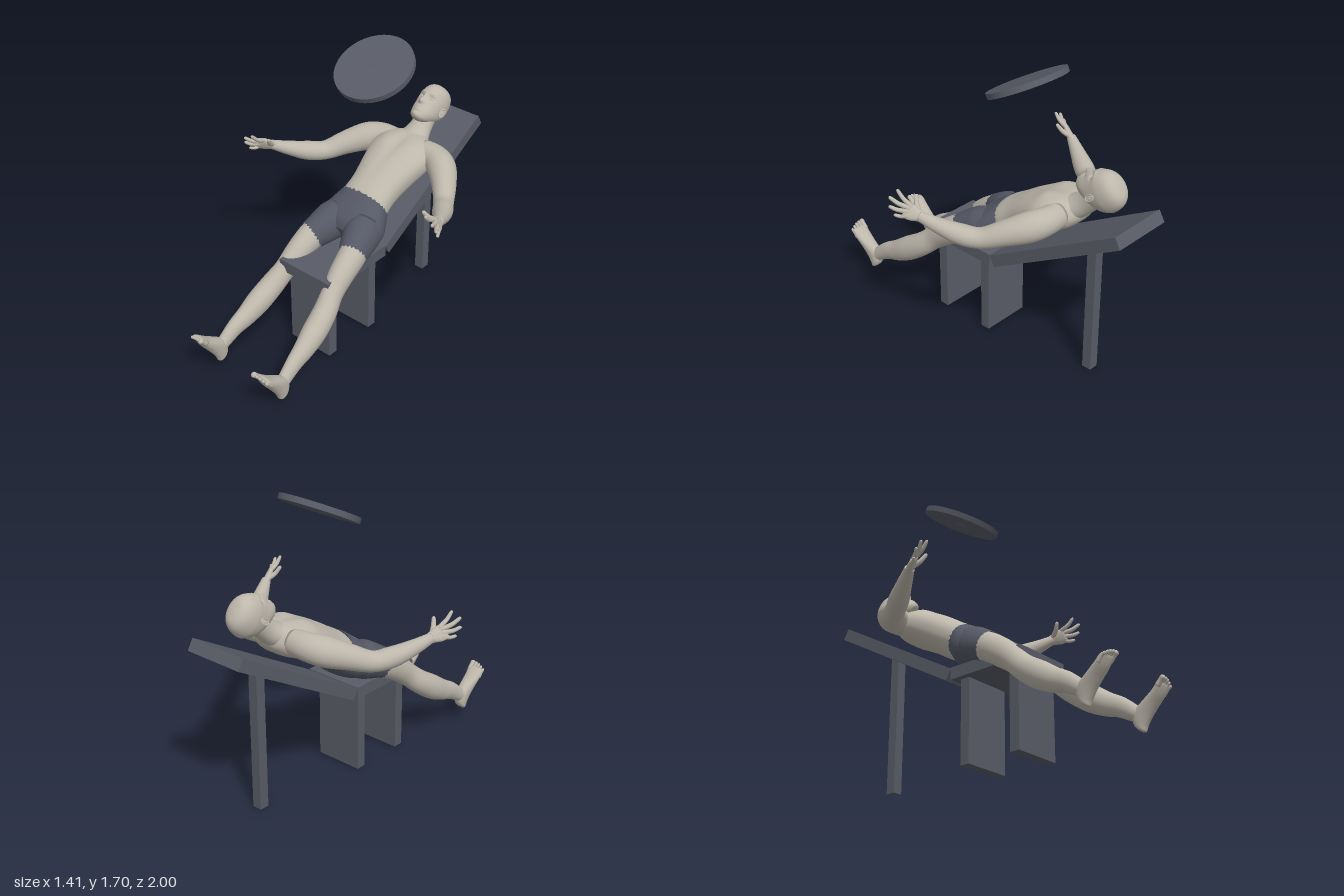
import * as THREE from 'three';

const V = (a) => new THREE.Vector3(...a);
const gauss = (d) => Math.exp(-d * d);
const spow = (c, n) => Math.sign(c) * Math.abs(c) ** (2 / n);

// Smooth closed skin through rings [x, y, z, halfWidth, halfDepth]
function loft(rings, o = {}) {
  const { seg = 28, sub = 5, n = 2, ref = [1, 0, 0], dir, jagStart = 0, jagEnd = 0, warp } = o;
  const path = new THREE.CatmullRomCurve3(rings.map((r) => V(r.slice(0, 3))), false, 'catmullrom');
  const size = new THREE.CatmullRomCurve3(rings.map((r) => V([r[3], r[4] ?? r[3], 0])), false, 'catmullrom');
  const rows = (rings.length - 1) * sub;
  const pos = [], idx = [];
  for (let i = 0; i <= rows; i++) {
    const c = path.getPoint(i / rows), s = size.getPoint(i / rows);
    const t = dir ? V(dir).normalize() : path.getTangent(i / rows);
    const u = V(ref).addScaledVector(t, -V(ref).dot(t)).normalize();
    const v = t.clone().cross(u);
    const jag = i === 0 ? jagStart : i === rows ? jagEnd : 0;
    for (let j = 0; j < seg; j++) {
      const a = (j / seg) * Math.PI * 2;
      const p = c.clone().addScaledVector(u, s.x * spow(Math.cos(a), n))
        .addScaledVector(v, s.y * spow(Math.sin(a), n))
        .addScaledVector(t, jag * Math.sin(j * 2.7));
      if (warp) warp(p);
      pos.push(p.x, p.y, p.z);
    }
  }
  for (let i = 0; i < rows; i++) {
    for (let j = 0; j < seg; j++) {
      const a = i * seg + j, b = i * seg + (j + 1) % seg;
      idx.push(a, b, b + seg, a, b + seg, a + seg);
    }
  }
  // End caps, left open at ragged cloth edges
  const cap = (row, flip) => {
    const k = pos.length / 3, m = [0, 0, 0];
    for (let j = 0; j < seg; j++) for (let d = 0; d < 3; d++) m[d] += pos[(row * seg + j) * 3 + d] / seg;
    pos.push(...m);
    for (let j = 0; j < seg; j++) {
      const a = row * seg + j, b = row * seg + (j + 1) % seg;
      if (flip) idx.push(k, b, a); else idx.push(k, a, b);
    }
  };
  if (!jagStart) cap(0, true);
  if (!jagEnd) cap(rows, false);
  const g = new THREE.BufferGeometry();
  g.setAttribute('position', new THREE.Float32BufferAttribute(pos, 3));
  g.setIndex(idx);
  g.computeVertexNormals();
  return g;
}

export function createModel() {
  const skin = new THREE.MeshStandardMaterial({ color: 0xbdb7ab });
  const cloth = new THREE.MeshStandardMaterial({ color: 0x555865, side: THREE.DoubleSide });
  const bench = new THREE.MeshStandardMaterial({ color: 0x595c67 });
  skin.name = 'skin'; cloth.name = 'shorts cloth'; bench.name = 'bench grey';

  const model = new THREE.Group();
  const add = (name, geo, mat, at = [0, 0, 0], parent = model) => {
    const m = new THREE.Mesh(geo, mat);
    m.name = name;
    m.position.set(...at);
    parent.add(m);
    return m;
  };

  // Reclining bench
  const box = (name, w, h, d, at) => add(name, new THREE.BoxGeometry(w, h, d), bench, at);
  box('seat', 0.366, 0.07, 0.49, [0, 0.52, 0.135]);
  box('backrest', 0.366, 0.07, 0.988, [0, 0.767, -0.555]).rotation.x = Math.PI / 6;
  box('frontLeg', 0.294, 0.49, 0.06, [0, 0.245, 0.305]);
  box('middleLeg', 0.294, 0.49, 0.058, [0, 0.245, -0.036]);
  box('backLeg', 0.058, 0.83, 0.058, [0, 0.415, -0.707]);

  // Hanging lamp disc with a slightly tilted hub
  const lamp = new THREE.Group();
  lamp.name = 'lamp';
  lamp.position.set(0, 1.58, -0.21);
  lamp.rotation.x = 0.47;
  model.add(lamp);
  add('lampDisc', new THREE.CylinderGeometry(0.226, 0.226, 0.032, 64), bench, [0, 0, 0], lamp);
  add('lampHub', new THREE.CylinderGeometry(0.034, 0.034, 0.033, 32), bench, [0, 0, 0], lamp).rotation.x = 0.08;

  // Torso, with chest muscles, breastbone and spine grooves
  const down = [0, -0.48, 0.88];
  add('torso', loft([
    [0, 1.0, -0.61, 0.07, 0.045], [0, 0.985, -0.585, 0.13, 0.07], [0, 0.963, -0.535, 0.185, 0.094],
    [0, 0.932, -0.45, 0.2, 0.106], [0, 0.88, -0.34, 0.174, 0.11], [0, 0.815, -0.225, 0.151, 0.104],
    [0, 0.762, -0.14, 0.153, 0.103], [0, 0.725, -0.1, 0.15, 0.09],
  ], {
    seg: 56, sub: 7, n: 2.3, dir: down, warp: (p) => {
      const x = Math.abs(p.x), mid = 0.68 - p.z * 0.545;
      const side = THREE.MathUtils.clamp((p.y - mid) / 0.06, -1, 1);
      const fade = gauss((p.z + 0.38) / 0.16);
      if (side > 0) p.y += side * (0.013 * gauss((x - 0.085) / 0.055) * gauss((p.z + 0.42) / 0.06) - 0.008 * gauss(x / 0.02) * fade);
      else p.y -= side * 0.012 * gauss(x / 0.025) * fade;
    },
  }), skin);
  add('neck', loft([
    [0, 1.11, -0.71, 0.06, 0.06], [0, 1.045, -0.645, 0.066, 0.062],
    [0, 1.0, -0.59, 0.09, 0.068], [0, 0.965, -0.53, 0.13, 0.07],
  ]), skin);

  // Head: rows are height, half width, front, back
  const head = new THREE.Group();
  head.name = 'head';
  head.position.set(0, 1.15, -0.73);
  head.rotation.x = -0.942;
  model.add(head);
  const rows = [
    [0.127, 0.012, -0.01, -0.04], [0.12, 0.044, 0.035, -0.08], [0.1, 0.067, 0.068, -0.108],
    [0.07, 0.08, 0.088, -0.125], [0.03, 0.086, 0.1, -0.134], [0, 0.085, 0.1, -0.132],
    [-0.04, 0.08, 0.099, -0.115], [-0.07, 0.073, 0.1, -0.085], [-0.095, 0.062, 0.101, -0.05],
    [-0.12, 0.045, 0.097, -0.005], [-0.134, 0.024, 0.084, 0.03],
  ];
  add('skull', loft(rows.map(([y, w, f, b]) => [0, y, (f + b) / 2, w, (f - b) / 2]), {
    seg: 80, sub: 7, dir: [0, -1, 0], warp: (p) => {
      if (p.z < 0.02) return;
      const { x, y } = p, ax = Math.abs(x);
      const ramp = THREE.MathUtils.clamp((0.028 - y) / 0.065, 0, 1) * (y < -0.038 ? gauss((y + 0.038) / 0.011) : 1);
      p.z += 0.026 * ramp * gauss(x / (0.009 + 0.007 * ramp))
        - 0.016 * gauss((ax - 0.034) / 0.018) * gauss((y - 0.006) / 0.014)
        + 0.005 * gauss((ax - 0.03) / 0.025) * gauss((y - 0.032) / 0.01)
        + 0.007 * gauss(x / 0.024) * (gauss((y + 0.075) / 0.006) + gauss((y + 0.09) / 0.006))
        + 0.005 * gauss(x / 0.02) * gauss((y + 0.121) / 0.012);
    },
  }), skin, [0, 0, 0], head);
  for (const s of [1, -1]) {
    add('eye', new THREE.SphereGeometry(0.014, 20, 14), skin, [s * 0.034, 0.006, 0.069], head);
    const ear = new THREE.Group();
    ear.name = 'ear';
    ear.position.set(s * 0.088, -0.022, -0.012);
    ear.rotation.set(-0.15, s * -0.35, 0);
    head.add(ear);
    add('earShell', new THREE.SphereGeometry(1, 16, 12), skin, [0, 0, 0], ear).scale.set(0.007, 0.029, 0.017);
    const rim = add('earRim', new THREE.TorusGeometry(0.017, 0.004, 8, 24), skin, [s * 0.005, 0.003, 0], ear);
    rim.rotation.y = Math.PI / 2;
    rim.scale.y = 1.6;
  }

  // Shorts: hip section with a ragged waistband
  add('shortsHips', loft([
    [0, 0.762, -0.14, 0.158, 0.108], [0, 0.71, -0.085, 0.192, 0.118], [0, 0.672, -0.03, 0.21, 0.116],
    [0, 0.645, 0.015, 0.18, 0.1], [0, 0.63, 0.05, 0.08, 0.06],
  ], { seg: 64, n: 2.3, dir: down, jagStart: 0.006 }), cloth);

  for (const s of [1, -1]) {
    const limb = (name, rings, o, mat = skin) =>
      add(name, loft(rings.map(([x, ...r]) => [s * x, ...r]), o), mat);

    limb('shortsLeg', [
      [0.1, 0.7, -0.05, 0.09, 0.1], [0.112, 0.668, 0.01, 0.106, 0.112],
      [0.13, 0.64, 0.075, 0.097, 0.103], [0.152, 0.61, 0.143, 0.081, 0.09],
    ], { seg: 48, jagEnd: 0.008 }, cloth);

    // Leg from hip to ankle
    limb('leg', [
      [0.125, 0.655, 0.05, 0.08, 0.085], [0.152, 0.61, 0.143, 0.077, 0.085], [0.165, 0.542, 0.253, 0.069, 0.078],
      [0.178, 0.47, 0.343, 0.059, 0.068], [0.198, 0.398, 0.428, 0.066, 0.07], [0.212, 0.33, 0.53, 0.066, 0.074],
      [0.221, 0.278, 0.62, 0.054, 0.065], [0.228, 0.243, 0.7, 0.043, 0.055], [0.233, 0.197, 0.772, 0.036, 0.045],
      [0.236, 0.165, 0.815, 0.033, 0.038],
    ], { seg: 32 });

    // Foot from heel to ball, then toes
    limb('foot', [
      [0.237, 0.084, 0.818, 0.012, 0.012], [0.237, 0.098, 0.812, 0.029, 0.034], [0.237, 0.13, 0.812, 0.035, 0.046],
      [0.238, 0.175, 0.832, 0.039, 0.052], [0.24, 0.216, 0.872, 0.043, 0.043], [0.242, 0.26, 0.92, 0.049, 0.03],
      [0.242, 0.295, 0.95, 0.051, 0.019], [0.242, 0.308, 0.961, 0.045, 0.012],
    ], { n: 2.2, dir: [0, 0.84, 0.54] });
    for (let k = 0; k < 5; k++) {
      const x = 0.203 + k * 0.0195 + (k ? 0.004 : 0), r = k ? 0.0105 - k * 0.0004 : 0.0155;
      const drop = k * k * 0.0016;
      limb('toe', [
        [x, 0.287 - drop, 0.945 - drop / 2, r], [x, 0.313 - drop, 0.968 - drop / 2, r * 0.92],
        [x, 0.327 - drop, 0.983 - drop / 2, r], [x, 0.334 - drop, 0.99 - drop / 2, r * 0.35],
      ], { seg: 12, sub: 4 });
    }

    // Arm from collar to wrist
    limb('arm', [
      [0.1, 0.962, -0.535, 0.07], [0.2, 0.957, -0.525, 0.078], [0.28, 0.94, -0.483, 0.083],
      [0.365, 0.905, -0.395, 0.07], [0.44, 0.867, -0.295, 0.057], [0.5, 0.88, -0.205, 0.057],
      [0.558, 0.916, -0.11, 0.043], [0.603, 0.953, -0.032, 0.03], [0.612, 0.962, -0.015, 0.027],
    ], { seg: 32, ref: [0, 1, 0] });

    // Hand: palm, four fingers and thumb
    limb('palm', [
      [0.6, 0.95, -0.04, 0.028, 0.024], [0.612, 0.961, -0.012, 0.033, 0.021], [0.628, 0.972, 0.018, 0.043, 0.019],
      [0.642, 0.983, 0.045, 0.043, 0.014], [0.646, 0.987, 0.053, 0.036, 0.008],
    ], { ref: [s * 0.5, -0.85, -0.1], n: 2.3 });
    const fingers = [
      [[0.622, 1.01, 0.043], [0.63, 1.072, 0.127]], [[0.639, 0.999, 0.048], [0.682, 1.046, 0.135]],
      [[0.65, 0.98, 0.045], [0.7, 1.003, 0.118]], [[0.656, 0.957, 0.035], [0.69, 0.958, 0.092]],
      [[0.6, 0.975, -0.005], [0.562, 1.042, 0.058]],
    ];
    fingers.forEach(([a, b], k) => {
      const r = [0.0115, 0.012, 0.0115, 0.01, 0.0135][k];
      const at = (t, w) => [...V(a).lerp(V(b), t).add(V([0, -0.008 * Math.sin(t * Math.PI), 0.006 * Math.sin(t * Math.PI)])).toArray(), r * w];
      limb(k < 4 ? 'finger' : 'thumb', [at(-0.2, 1), at(0.15, 1.1), at(0.5, 1), at(0.9, 0.8), at(1, 0.3)],
        { seg: 12, sub: 4, ref: [s * 0.5, -0.85, -0.1] });
    });
  }
  return model;
}
